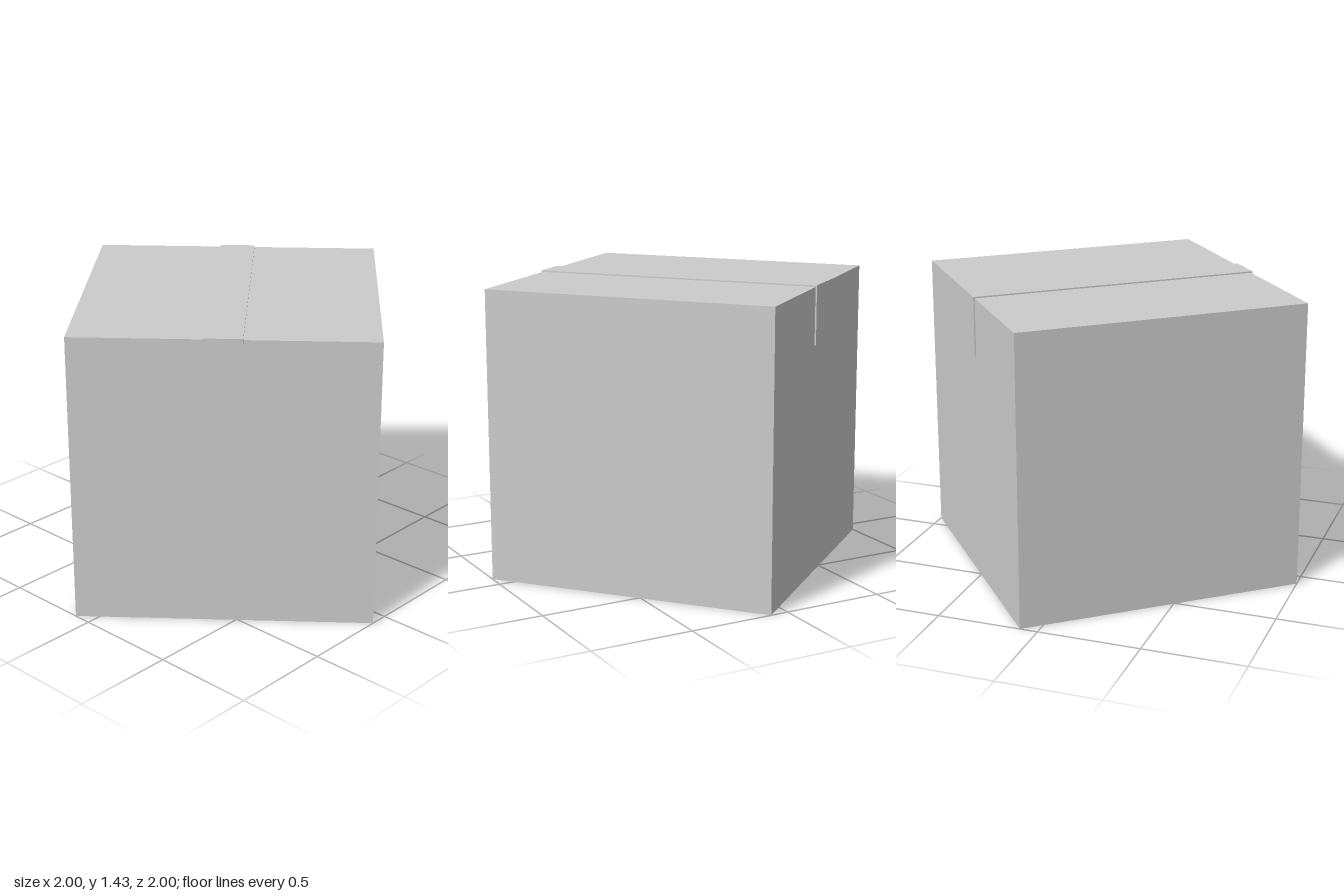
import * as THREE from 'three';

export function createModel() {
  const size = 1.419;      // edge of the cubic carton
  const half = size / 2;
  const tapeWidth = 0.177;
  const tapeThick = 0.007;
  const tapeBottom = 1.14; // lower end of the folded tape ends

  const material = new THREE.MeshStandardMaterial({ color: 0xcccccc, flatShading: true });
  const group = new THREE.Group();
  group.name = 'cardboardBox';

  // Carton
  const carton = new THREE.Mesh(new THREE.BoxGeometry(size, size, size), material);
  carton.name = 'carton';
  carton.position.y = half;
  group.add(carton);

  // Tape strip: a shallow U folded over the top and down two opposite sides
  const outer = half + tapeThick;
  const profile = new THREE.Shape([
    [-outer, tapeBottom], [-half, tapeBottom], [-half, size], [half, size],
    [half, tapeBottom], [outer, tapeBottom], [outer, size + tapeThick], [-outer, size + tapeThick],
  ].map(([x, y]) => new THREE.Vector2(x, y)));
  const tapeGeometry = new THREE.ExtrudeGeometry(profile, { depth: tapeWidth, bevelEnabled: false });
  tapeGeometry.translate(0, 0, -tapeWidth / 2);
  tapeGeometry.rotateY(Math.PI / 2);
  const tape = new THREE.Mesh(tapeGeometry, material);
  tape.name = 'packingTape';
  group.add(tape);

  // The whole box stands turned about the vertical
  group.rotation.y = THREE.MathUtils.degToRad(40);
  return group;
}
